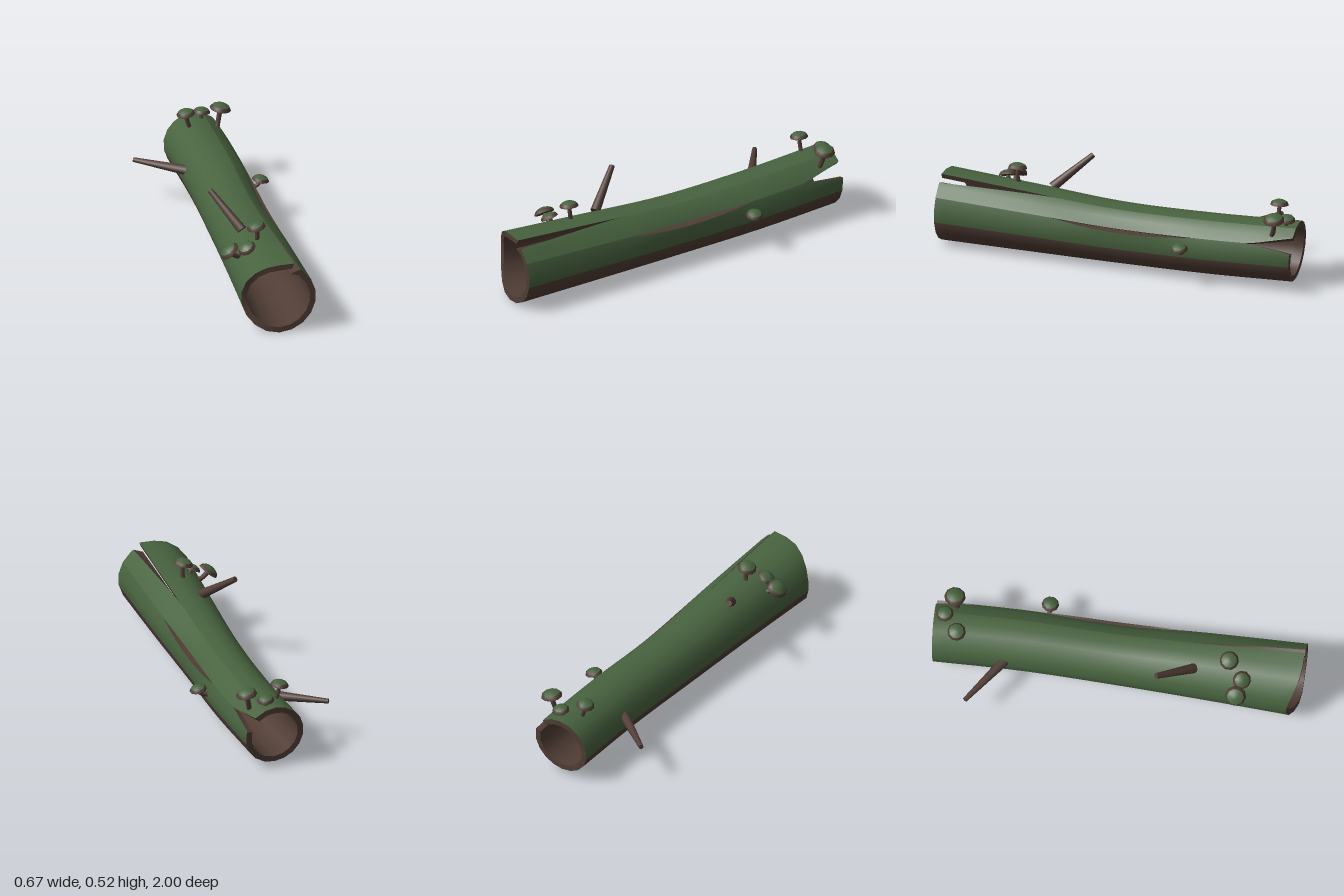
import * as THREE from 'three';

const bark = new THREE.MeshStandardMaterial({ color: 0x503d35 });
bark.name = 'bark brown';
const moss = new THREE.MeshStandardMaterial({ color: 0x48633f });
moss.name = 'moss green';

const { clamp, degToRad } = THREE.MathUtils;
const V = (x, y, z) => new THREE.Vector3(x, y, z);
const ROWS = 32;
const WALL = 0.031;

// Log stations from front to back: centre x, centre y, radius
const spine = new THREE.CatmullRomCurve3([
  V(0.083, 0.2, 0.2), V(0.083, 0.188, 0.183), V(0.078, 0.175, 0.166),
  V(0.073, 0.185, 0.165), V(0.045, 0.2, 0.166),
], false, 'catmullrom', 0.5);

// How far each free edge of the bark opens: [angle shift, radius shift]
function lip(edge, z, inner) {
  const front = clamp((z - 0.36) / 0.64, 0, 1);
  const side = clamp(1 - ((z + 0.05) / 0.39) ** 2, 0, 1);
  const rear = clamp((-0.77 - z) / 0.23, 0, 1);
  if (edge === 'topRight') return [(inner ? -3 : -15) * front, (inner ? -0.014 : 0) * front];
  if (edge === 'topLeft') return [-2 * front, 0.018 * front];
  if (edge === 'sideUpper') return [17 * rear, -0.008 * side];
  if (edge === 'sideLower') return [-14 * rear - (inner ? 0 : 8) * side, (inner ? 0 : 0.006) * side];
  return [0, 0];
}

// Point on the log: column k of 18 (starting at 30 degrees), t from front to back
function logPoint(k, t, edge, inner) {
  const a = degToRad(30 + 20 * k);
  const zFront = 1 - 0.06 * Math.max(0, -Math.cos(a)) ** 2;
  const zRear = -0.985 - 0.015 * Math.cos(a - Math.PI / 4);
  const z = zFront + (zRear - zFront) * t;
  const c = spine.getPoint(clamp((1 - z) / 2, 0, 1));
  const [da, dr] = lip(edge, z, inner);
  const r = c.z + dr - (inner ? WALL : 0);
  const b = a + degToRad(da);
  return V(c.x + r * Math.cos(b), c.y + r * Math.sin(b), z);
}

// Grid surface with u strips; materialOf picks the material index of a strip
function patch(nu, nv, point, flip, materialOf) {
  const pos = [], idx = [];
  const geo = new THREE.BufferGeometry();
  for (let u = 0; u <= nu; u++)
    for (let v = 0; v <= nv; v++) pos.push(...point(u, v).toArray());
  for (let u = 0; u < nu; u++) {
    const start = idx.length;
    for (let v = 0; v < nv; v++) {
      const a = u * (nv + 1) + v, b = a + 1, c = a + nv + 1, d = c + 1;
      if (flip) idx.push(a, d, b, a, c, d);
      else idx.push(a, b, d, a, d, c);
    }
    if (materialOf) geo.addGroup(start, idx.length - start, materialOf(u));
  }
  geo.setAttribute('position', new THREE.Float32BufferAttribute(pos, 3));
  geo.setIndex(idx);
  geo.computeVertexNormals();
  return geo;
}

function add(parent, name, geo, material) {
  const mesh = new THREE.Mesh(geo, material);
  mesh.name = name;
  parent.add(mesh);
  return mesh;
}

// One curved piece of hollow trunk between two splits
function trunkPanel(name, k0, k1, startEdge, endEdge) {
  const g = new THREE.Group();
  g.name = name;
  const n = k1 - k0;
  const at = (u, t, inner) =>
    logPoint(k0 + u, t, u === 0 ? startEdge : u === n ? endEdge : '', inner);
  add(g, 'outerBark', patch(n, ROWS, (u, v) => at(u, v / ROWS, false), false,
    (u) => (k0 + u >= 8 && k0 + u < 16 ? 1 : 0)), [moss, bark]);
  add(g, 'innerWall', patch(n, ROWS, (u, v) => at(u, v / ROWS, true), true), bark);
  add(g, 'frontRim', patch(n, 1, (u, v) => at(u, 0, v === 1), true), bark);
  add(g, 'rearRim', patch(n, 1, (u, v) => at(u, 1, v === 1), false), bark);
  add(g, 'startSplitFace', patch(ROWS, 1, (u, v) => at(0, u / ROWS, v === 1), false), bark);
  add(g, 'endSplitFace', patch(ROWS, 1, (u, v) => at(n, u / ROWS, v === 1), true), bark);
  return g;
}

// Tapered broken branch
function branch(name, base, tip, rBase, rTip) {
  const dir = tip.clone().sub(base);
  const geo = new THREE.CylinderGeometry(rTip, rBase, dir.length(), 10);
  const mesh = new THREE.Mesh(geo, bark);
  mesh.name = name;
  mesh.position.copy(base).add(tip).multiplyScalar(0.5);
  mesh.quaternion.setFromUnitVectors(V(0, 1, 0), dir.normalize());
  return mesh;
}

// Mushroom with a bent stem and a two-coloured tilted cap
function mushroom(base, rim, axis, r) {
  const g = new THREE.Group();
  g.name = 'mushroom';
  const up = axis.clone().normalize();
  const bend = rim.clone().addScaledVector(up, -0.6 * base.distanceTo(rim));
  const curve = new THREE.QuadraticBezierCurve3(base, bend, rim);
  add(g, 'stem', new THREE.TubeGeometry(curve, 6, r * 0.23, 8), bark);

  const cap = new THREE.Group();
  cap.name = 'cap';
  const profile = (pts) => new THREE.LatheGeometry(
    pts.map(([x, y]) => new THREE.Vector2(x * r, y * r)), 10);
  add(cap, 'capUnderside', profile([[0, -0.08], [0.55, -0.1], [1, -0.06]]), bark);
  add(cap, 'capRim', profile([[1, -0.06], [0.95, 0.12], [0.8, 0.3]]), bark);
  add(cap, 'capTop', profile([[0.8, 0.3], [0.5, 0.46], [0.22, 0.53], [0, 0.55]]), moss);
  cap.position.copy(rim);
  cap.quaternion.setFromUnitVectors(V(0, 1, 0), up);
  g.add(cap);
  return g;
}

export function createModel() {
  const model = new THREE.Group();
  model.name = 'hollowLog';

  // Trunk, split along the upper right and the right side
  model.add(trunkPanel('narrowTrunkPanel', 0, 2, 'sideUpper', 'topRight'));
  model.add(trunkPanel('mainTrunkPanel', 2, 18, 'topLeft', 'sideLower'));

  // Broken branches
  model.add(branch('sideBranch', V(-0.07, 0.224, -0.59), V(-0.329, 0.233, -0.765), 0.028, 0.013));
  model.add(branch('topBranch', V(0.005, 0.345, 0.425), V(-0.13, 0.507, 0.24), 0.027, 0.015));

  // Mushrooms: stem base, cap rim centre, cap axis, cap radius
  const mushrooms = [
    [V(-0.055, 0.305, 0.66), V(-0.117, 0.347, 0.67), V(-0.64, 0.77, 0), 0.057],
    [V(-0.025, 0.325, 0.67), V(-0.028, 0.366, 0.69), V(-0.42, 0.82, 0.2), 0.05],
    [V(0.045, 0.36, 0.6), V(0.042, 0.447, 0.61), V(-0.22, 0.97, 0), 0.052],
    [V(0.155, 0.32, -0.88), V(0.177, 0.421, -0.9), V(0.18, 0.98, 0), 0.058],
    [V(0.0, 0.345, -0.86), V(-0.022, 0.428, -0.86), V(-0.15, 0.98, 0), 0.05],
    [V(0.075, 0.345, -0.93), V(0.083, 0.392, -0.94), V(0.1, 0.98, -0.1), 0.047],
    [V(0.225, 0.185, -0.4), V(0.287, 0.223, -0.4), V(0.2, 0.97, 0), 0.047],
  ];
  for (const m of mushrooms) model.add(mushroom(...m));
  return model;
}
